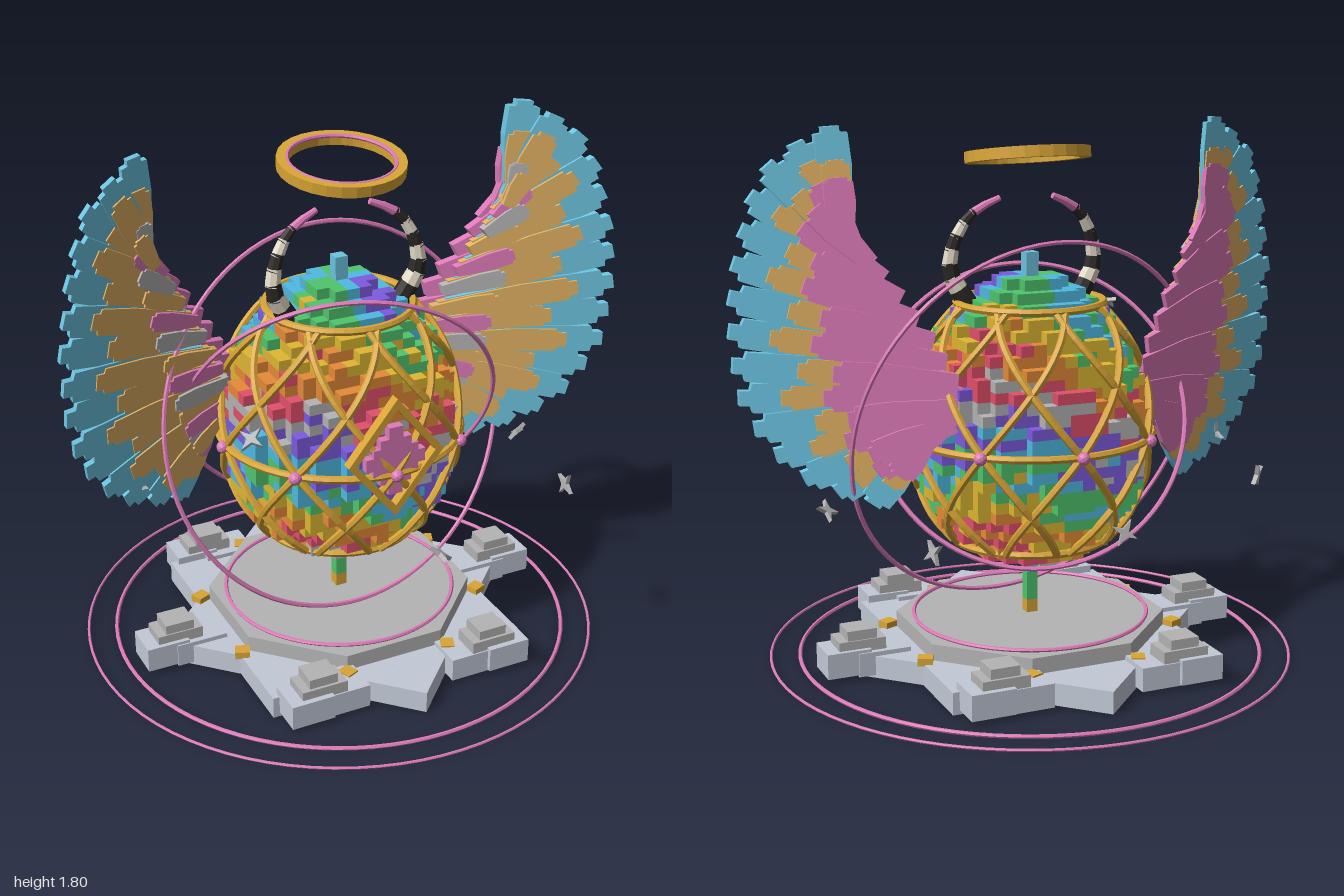
import * as THREE from 'three';
import { mergeGeometries } from 'three/addons/utils/BufferGeometryUtils.js';

const V = (x, y, z) => new THREE.Vector3(x, y, z);
const GOLD = 0xd9a536, PINK = 0xdd7ab8, CYAN = 0x6cc4e0, GREY = 0xb4b4b4, STONE = 0xc2cad6, TAN = 0xdfb062;
const RAINBOW = [0xe2506c, 0xe58a38, 0xdeb733, 0x50c46e, 0x4fb9e2, 0x7c5be0, 0xb4b4b4];
const materials = {};
const mat = (color) => materials[color] ??= new THREE.MeshStandardMaterial({ color, flatShading: true });

function add(parent, name, geo, color, pos = [0, 0, 0], rot = [0, 0, 0]) {
  const m = new THREE.Mesh(geo, mat(color));
  m.name = name;
  m.position.set(...pos);
  m.rotation.set(...rot);
  parent.add(m);
  return m;
}
const box = (w, h, d) => new THREE.BoxGeometry(w, h, d);
const hash = (a, b, c) => {
  const s = Math.sin(a * 12.99 + b * 78.23 + c * 37.72) * 43758.55;
  return s - Math.floor(s);
};

// Egg radius at a height
const PROFILE = [[0.36, 0.18], [0.4, 0.25], [0.5, 0.335], [0.62, 0.38], [0.77, 0.4], [0.9, 0.385],
  [1.0, 0.36], [1.1, 0.315], [1.2, 0.24], [1.26, 0.15], [1.31, 0.11]];
function eggRadius(y) {
  for (let i = 1; i < PROFILE.length; i++) {
    const [y0, r0] = PROFILE[i - 1], [y1, r1] = PROFILE[i];
    if (y <= y1) return r0 + (r1 - r0) * (y - y0) / (y1 - y0);
  }
  return 0.11;
}

// Stepped shell of small bricks, merged by colour
function buildEgg(root) {
  const egg = new THREE.Group();
  egg.name = 'brickEgg';
  root.add(egg);
  const h = 0.036, c = 0.044, sets = RAINBOW.map(() => []);
  for (let k = 0; k < 26; k++) {
    const y = 0.36 + (k + 0.5) * h, R = eggRadius(y);
    for (let i = -10; i <= 10; i++) for (let j = -10; j <= 10; j++) {
      const x = i * c, z = j * c, r = Math.hypot(x, z);
      if (r > R - 0.012 || r < R - 0.15) continue;
      const brick = hash(k, Math.floor((i + k + 40) / 3), Math.floor((j + k + 40) / 3));
      const band = k / 2.4 + 1.2 * Math.sin(2 * Math.atan2(z, x)) + brick * 2.2 + 7;
      sets[Math.floor(band) % 7].push(box(c, h, c).translate(x, y, z));
    }
  }
  sets.forEach((s, i) => s.length && add(egg, 'eggBricks', mergeGeometries(s), RAINBOW[i]));
}

// Gold lattice, hoops and beads round the egg
function buildCage(root) {
  const cage = new THREE.Group();
  cage.name = 'cage';
  root.add(cage);
  for (const dir of [-1, 1]) for (let i = 0; i < 8; i++) {
    const pts = [];
    for (let k = 0; k <= 12; k++) {
      const t = k / 12, y = 0.41 + 0.8 * t, r = eggRadius(y) + 0.014;
      const a = i * Math.PI / 4 + dir * (t - 0.45) * Math.PI / 2;
      pts.push(V(r * Math.sin(a), y, r * Math.cos(a)));
    }
    add(cage, 'latticeBar', new THREE.TubeGeometry(new THREE.CatmullRomCurve3(pts), 28, 0.013, 6), GOLD);
  }
  for (const [y, r] of [[0.41, 0.265], [0.77, 0.412], [1.21, 0.245]])
    add(cage, 'hoop', new THREE.TorusGeometry(r, 0.013, 6, 48), GOLD, [0, y, 0], [Math.PI / 2, 0, 0]);
  for (let i = 0; i < 8; i++) {
    const a = i * Math.PI / 4;
    add(cage, 'bead', new THREE.IcosahedronGeometry(0.022, 1), PINK, [0.425 * Math.sin(a), 0.77, 0.425 * Math.cos(a)]);
  }
}

// Diamond frame with a stepped pink gem on the front
function buildMedallion(root) {
  const diamond = (P, w, h) => {
    const p = new P();
    p.moveTo(0, -h); p.lineTo(w, 0); p.lineTo(0, h); p.lineTo(-w, 0); p.closePath();
    return p;
  };
  const frame = diamond(THREE.Shape, 0.17, 0.21);
  frame.holes.push(diamond(THREE.Path, 0.14, 0.172));
  add(root, 'medallionFrame', new THREE.ExtrudeGeometry(frame, { depth: 0.035, bevelEnabled: false }), GOLD, [0, 0.83, 0.385]);
  for (const [w, h] of [[0.05, 0.24], [0.11, 0.16], [0.16, 0.1], [0.21, 0.045]])
    add(root, 'medallionGem', box(w, h, 0.03), PINK, [0, 0.82, 0.4]);
}

// One feather blade with a narrow nub on its tip, sheared back into the slanted wing plane
function feather(s, base, tip, w, z, depth, nub) {
  const d = tip.clone().sub(base), n = new THREE.Vector2(-d.y, d.x).normalize().multiplyScalar(w / 2);
  const at = (t, k) => base.clone().addScaledVector(d, t).addScaledVector(n, k);
  const pts = [at(0, -0.6), at(0.6, -1), at(0.93, -0.95), at(0.94, -nub), at(1, -nub),
    at(1, nub), at(0.94, nub), at(0.93, 0.95), at(0.6, 1), at(0, 0.6)];
  pts.forEach((p) => { p.x *= s; });
  const g = new THREE.ExtrudeGeometry(new THREE.Shape(pts), { depth, bevelEnabled: false }).translate(0, 0, z);
  const pos = g.attributes.position;
  for (let i = 0; i < pos.count; i++) pos.setZ(i, pos.getZ(i) + 0.42 * (Math.abs(pos.getX(i)) - 0.7));
  g.computeVertexNormals();
  return g;
}

function buildWing(root, s) {
  const wing = new THREE.Group();
  wing.name = s > 0 ? 'leftWing' : 'rightWing';
  root.add(wing);
  const curve = (a) => new THREE.SplineCurve(a.map(([x, y]) => new THREE.Vector2(x, y)));
  const spine = curve([[0.44, 0.78], [0.4, 0.86], [0.42, 0.98], [0.5, 1.18], [0.6, 1.38], [0.655, 1.5]]);
  const edge = curve([[0.58, 0.59], [0.8, 0.69], [0.95, 0.9], [0.985, 1.15], [0.965, 1.38], [0.87, 1.67], [0.68, 1.8]]);
  const N = 15;
  for (let i = 0; i < N; i++) {
    const t = i / (N - 1), b = spine.getPoint(t), e = edge.getPointAt(t), z = (i % 2) * 0.008;
    const at = (k) => b.clone().lerp(e, k);
    add(wing, 'outerFeather', feather(s, at(0), e, 0.1, z - 0.014, 0.028, 0.5), CYAN);
    add(wing, 'middleFeather', feather(s, at(-0.05), at(i % 2 ? 0.78 : 0.66), 0.085, z - 0.022, 0.044, 0.6), TAN);
    add(wing, 'backFeather', feather(s, at(-0.18), at(i % 2 ? 0.56 : 0.48), 0.09, z - 0.032, 0.03, 0.6), PINK);
    add(wing, 'innerFeather', feather(s, at(-0.1), at(0.3), 0.06, z + 0.004, 0.03, 0.6), i % 3 ? (i % 3 > 1 ? GREY : TAN) : PINK);
  }
}

// Banded horns curving inward to a pink tip
function buildHorn(root, s) {
  const horn = new THREE.Group();
  horn.name = 'horn';
  root.add(horn);
  const path = new THREE.CatmullRomCurve3([V(0.205 * s, 1.21, 0.05), V(0.26 * s, 1.32, 0.06),
    V(0.235 * s, 1.44, 0.05), V(0.18 * s, 1.51, 0.04), V(0.1 * s, 1.55, 0.03)]);
  const n = 9;
  for (let i = 0; i < n; i++) {
    const a = path.getPointAt(i / n), b = path.getPointAt((i + 1) / n), r = 0.036 - 0.0028 * i;
    const m = add(horn, 'hornBand', new THREE.CylinderGeometry(r - 0.003, r, a.distanceTo(b) + 0.012, 8),
      i > 6 ? PINK : i % 2 ? 0xe4dcc8 : 0x2a2724);
    m.position.copy(a).lerp(b, 0.5);
    m.quaternion.setFromUnitVectors(V(0, 1, 0), b.clone().sub(a).normalize());
  }
}

// Tilted halo of short gold blocks with a pink inner line
function buildHalo(root) {
  const halo = new THREE.Group();
  halo.name = 'halo';
  halo.position.set(0, 1.69, 0.02);
  halo.rotation.x = 0.14;
  root.add(halo);
  const band = [[0.172, -0.018], [0.208, -0.018], [0.208, 0.018], [0.172, 0.018], [0.172, -0.018]];
  add(halo, 'haloBand', new THREE.LatheGeometry(band.map((p) => new THREE.Vector2(...p)), 28), GOLD);
  add(halo, 'haloLine', new THREE.TorusGeometry(0.174, 0.007, 6, 40), PINK, [0, 0.014, 0], [Math.PI / 2, 0, 0]);
}

// Eight-pointed plinth, rock clusters and gold nuggets
function buildBase(root) {
  const base = new THREE.Group();
  base.name = 'base';
  root.add(base);
  for (const a of [0, Math.PI / 4]) add(base, 'starSlab', box(0.925, 0.075, 0.925), STONE, [0, 0.0375, 0], [0, a, 0]);
  add(base, 'platform', new THREE.CylinderGeometry(0.46, 0.46, 0.06, 8), GREY, [0, 0.1, 0], [0, Math.PI / 8, 0]);
  for (let i = 0; i < 6; i++) {
    const a = i * Math.PI / 3, x = 0.61 * Math.cos(a), z = 0.58 * Math.sin(a);
    const u = Math.cos(a) < 0 ? -1 : 1;
    add(base, 'rock', box(0.15, 0.085, 0.13), STONE, [x + 0.06 * u, 0.058, z]);
    add(base, 'rock', box(0.18, 0.08, 0.14), STONE, [x - 0.06 * u, 0.05, z * 0.96]);
    add(base, 'rock', box(0.16, 0.06, 0.1), GREY, [x + 0.01 * u, 0.1, z * 0.99]);
    add(base, 'rockTop', box(0.1, 0.05, 0.09), GREY, [x + 0.01 * u, 0.138, z * 0.98]);
  }
  for (let i = 0; i < 8; i++) {
    const a = (i + 0.5) * Math.PI / 4;
    add(base, 'nugget', box(0.05, 0.025, 0.045), GOLD, [0.49 * Math.cos(a), 0.083, 0.49 * Math.sin(a)], [0, a, 0]);
  }
  for (const [r, t, y] of [[0.4, 0.007, 0.135], [0.79, 0.007, 0.01], [0.888, 0.005, 0.01]])
    add(base, 'floorRing', new THREE.TorusGeometry(r, t, 6, 80), PINK, [0, y, 0], [Math.PI / 2, 0, 0]);
}

// Small four-pointed sparkles floating round the egg
function buildSparkles(root) {
  const heights = [0.57, 0.67, 0.64, 1.09, 0.69, 0.69, 0.61, 0.57];
  const shape = new THREE.Shape(Array.from({ length: 8 }, (_, i) => {
    const a = i * Math.PI / 4, r = i % 2 ? 0.013 : 0.044;
    return new THREE.Vector2(r * Math.cos(a), r * Math.sin(a));
  }));
  const geo = new THREE.ExtrudeGeometry(shape, { depth: 0.014, bevelEnabled: false }).translate(0, 0, -0.007);
  heights.forEach((y, i) => {
    const a = i * Math.PI / 4, r = i % 2 ? 0.785 : 0.715;
    add(root, 'sparkle', geo, GREY, [r * Math.cos(a), y, r * Math.sin(a)], [0.9 + i * 0.4, 0.5 + i, i * 0.7]);
  });
}

export function createModel() {
  const root = new THREE.Group();
  root.name = 'wingedEgg';
  buildBase(root);
  buildEgg(root);
  buildCage(root);
  buildMedallion(root);
  for (const s of [1, -1]) {
    buildWing(root, s);
    buildHorn(root, s);
  }
  buildHalo(root);
  // Stem below the egg and the spike above it
  [GOLD, 0x50c46e, 0x50c46e, CYAN, CYAN].forEach((c, i) => add(root, 'stem', box(0.04, 0.05, 0.04), c, [0, 0.15 + i * 0.05, 0]));
  add(root, 'spike', box(0.044, 0.09, 0.044), CYAN, [0, 1.33, 0]);
  // Tilted orbit rings
  for (const [r, y, tilt, turn] of [[0.655, 0.795, -0.285, 0.12], [0.53, 0.83, 0.48, -0.25]]) {
    const ring = add(root, 'orbitRing', new THREE.TorusGeometry(r, 0.008, 6, 80), PINK, [0, y, 0], [tilt, turn, 0]);
    ring.rotation.order = 'XYZ';
  }
  buildSparkles(root);
  return root;
}
